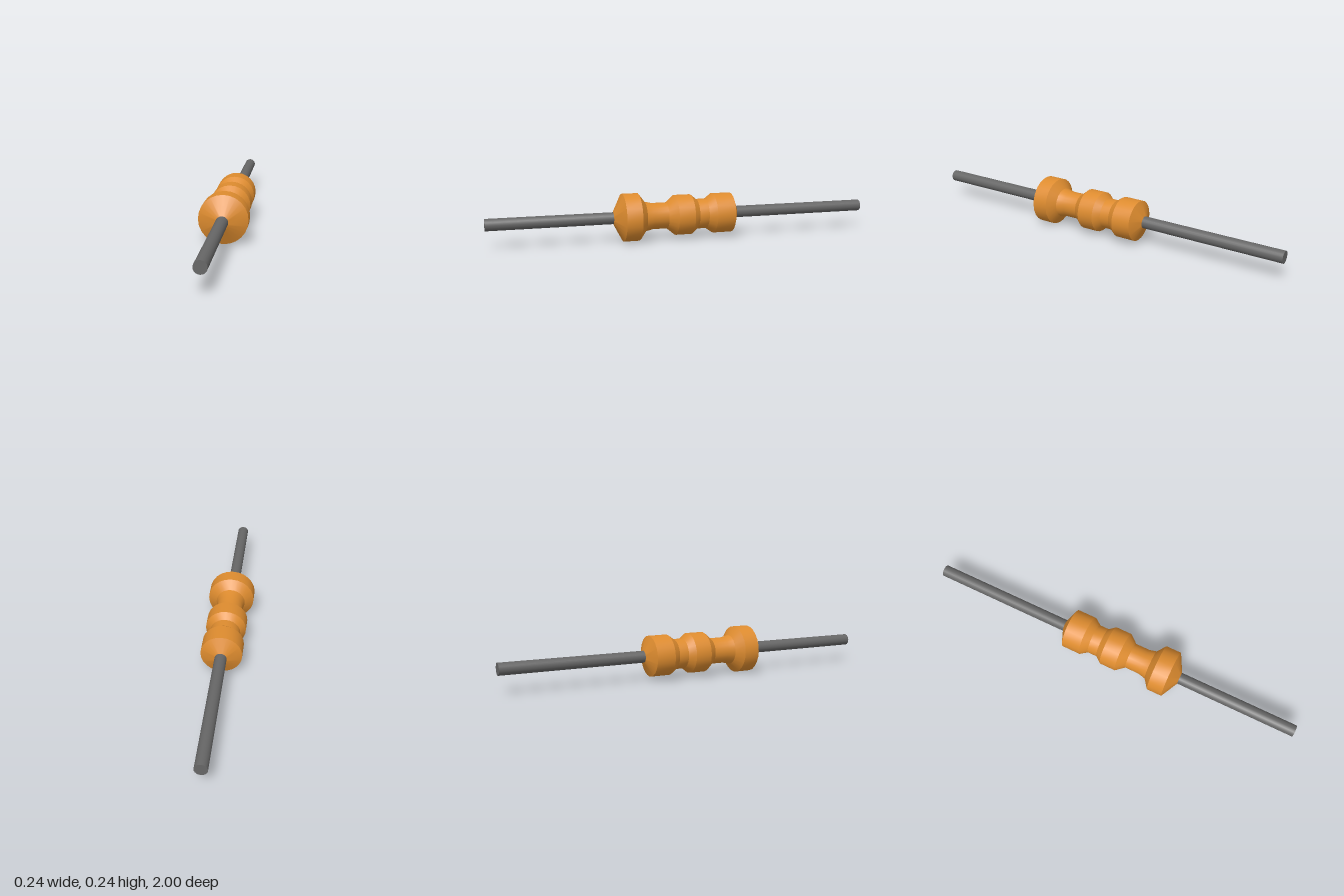
import * as THREE from 'three';
import { toCreasedNormals } from 'three/addons/utils/BufferGeometryUtils.js';

const AXIS_Y = 0.122; // height of the long axis
const SIDES = 24;

export function createModel() {
  const model = new THREE.Group();
  model.name = 'axialComponent';

  const orange = new THREE.MeshStandardMaterial({ color: 0xde8c2f });
  orange.name = 'orange coating';
  const grey = new THREE.MeshStandardMaterial({ color: 0x666666 });
  grey.name = 'grey metal';

  // Turned body: [radius, z] from back to front
  const profile = [
    [0.03, -0.277], [0.103, -0.245], [0.103, -0.147], [0.077, -0.11],
    [0.077, -0.06], [0.103, -0.028], [0.103, 0.057], [0.067, 0.1],
    [0.067, 0.175], [0.076, 0.214], [0.121, 0.248], [0.121, 0.328],
    [0.03, 0.376],
  ].map(([r, z]) => new THREE.Vector2(r, z));
  const bodyGeometry = new THREE.LatheGeometry(profile, SIDES);
  bodyGeometry.rotateX(Math.PI / 2);
  const body = new THREE.Mesh(toCreasedNormals(bodyGeometry, 0.4), orange);
  body.name = 'body';
  body.position.y = AXIS_Y;
  model.add(body);

  // Wire leads, running from inside the body ends to the tips
  for (const [name, from, to] of [['frontLead', 0.37, 1], ['backLead', -1, -0.27]]) {
    const geometry = new THREE.CylinderGeometry(0.03, 0.03, to - from, SIDES);
    geometry.rotateX(Math.PI / 2);
    const lead = new THREE.Mesh(geometry, grey);
    lead.name = name;
    lead.position.set(0, AXIS_Y, (from + to) / 2);
    model.add(lead);
  }

  return model;
}
